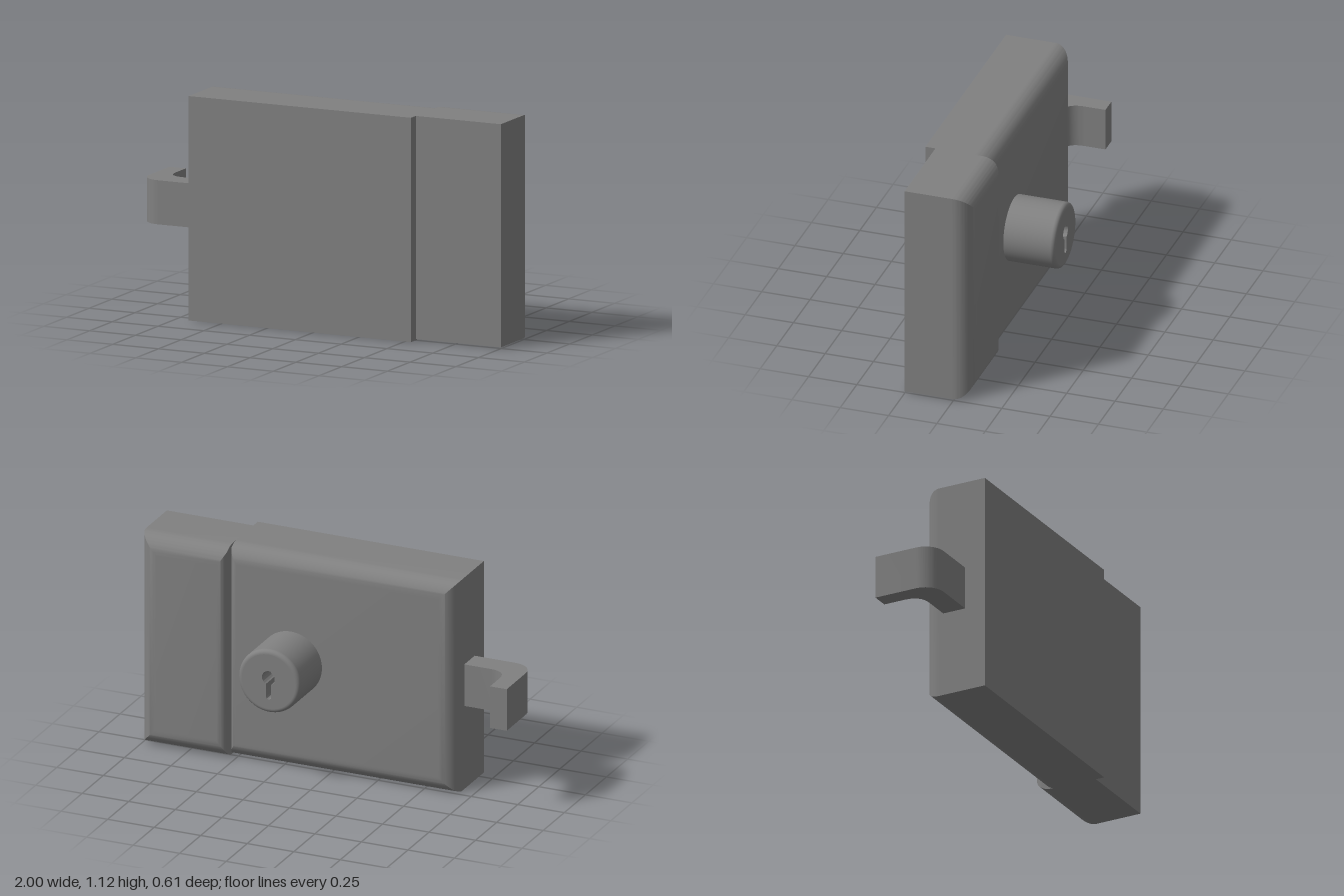
import * as THREE from 'three';
import { toCreasedNormals } from 'three/addons/utils/BufferGeometryUtils.js';

// Inset of a rounded edge of radius r, at distance d in from the back face
const inset = (r, d) => (d < r ? r - Math.sqrt(r * r - (r - d) * (r - d)) : 0);

// Box whose back edges are rounded and mitred, lofted from rectangles along z
function roundedBackBox({ x0, x1, y0, y1, back, front, rLeft, rRight, rY }) {
  const R = Math.max(rLeft, rRight, rY), steps = 20;
  const depths = [];
  for (let i = 0; i <= steps; i++) depths.push(R * (1 - Math.cos((i / steps) * Math.PI / 2)));
  depths.push(front - back);

  const rings = depths.map((d) => {
    const a = x0 + inset(rLeft, d), b = x1 - inset(rRight, d);
    const c = y0 + inset(rY, d), e = y1 - inset(rY, d), z = back + d;
    return [[a, c, z], [b, c, z], [b, e, z], [a, e, z]];
  });

  const pos = [];
  const quad = (a, b, c, d) => pos.push(...a, ...b, ...c, ...a, ...c, ...d);
  for (let i = 0; i < rings.length - 1; i++) {
    for (let k = 0; k < 4; k++) {
      const n = (k + 1) % 4;
      quad(rings[i][k], rings[i][n], rings[i + 1][n], rings[i + 1][k]);
    }
  }
  quad(...[...rings[0]].reverse());
  quad(...rings[rings.length - 1]);

  const geo = new THREE.BufferGeometry();
  geo.setAttribute('position', new THREE.Float32BufferAttribute(pos, 3));
  return toCreasedNormals(geo, 0.5);
}

export function createModel() {
  const group = new THREE.Group();
  const metal = new THREE.MeshStandardMaterial({ color: 0x808080 });
  metal.name = 'grey metal';

  const add = (name, geo, parent = group) => {
    const mesh = new THREE.Mesh(geo, metal);
    mesh.name = name;
    parent.add(mesh);
    return mesh;
  };

  // Lock case and the keeper beside it
  add('lockCase', roundedBackBox({
    x0: -0.68, x1: 0.535, y0: 0, y1: 1.12, back: -0.04, front: 0.305,
    rLeft: 0.09, rRight: 0.04, rY: 0.09,
  }));
  add('keeper', roundedBackBox({
    x0: 0.535, x1: 1, y0: 0.006, y1: 1.12, back: -0.087, front: 0.253,
    rLeft: 0.045, rRight: 0.095, rY: 0.095,
  }));

  // Bent handle: an L profile extruded upward
  const bend = new THREE.Shape();
  bend.moveTo(-0.66, 0.195);
  bend.lineTo(-0.9, 0.195);
  bend.absarc(-0.9, 0.095, 0.1, Math.PI / 2, Math.PI, false);
  bend.lineTo(-1, -0.13);
  bend.lineTo(-0.91, -0.13);
  bend.lineTo(-0.91, -0.02);
  bend.quadraticCurveTo(-0.91, 0.073, -0.82, 0.073);
  bend.lineTo(-0.66, 0.073);
  const handle = new THREE.ExtrudeGeometry(bend, { depth: 0.22, bevelEnabled: false, curveSegments: 14 });
  handle.rotateX(Math.PI / 2);
  add('handle', toCreasedNormals(handle, 0.5)).position.y = 0.66;

  // Key cylinder on the back
  const cylinder = new THREE.Group();
  cylinder.name = 'keyCylinder';
  cylinder.position.set(0.2, 0.56, -0.305);
  group.add(cylinder);

  // Barrel side with a rounded rim
  const radius = 0.166, rim = 0.022, inner = radius - rim;
  const profile = [new THREE.Vector2(radius, -0.28)];
  for (let i = 0; i <= 8; i++) {
    const t = (i / 8) * Math.PI / 2;
    profile.push(new THREE.Vector2(inner + rim * Math.cos(t), -rim + rim * Math.sin(t)));
  }
  const barrel = new THREE.LatheGeometry(profile, 64);
  barrel.rotateX(-Math.PI / 2);
  add('barrel', barrel, cylinder);

  // End face with the keyhole cut through it
  const face = new THREE.Shape();
  face.absarc(0, 0, inner, 0, Math.PI * 2, false);
  const hole = new THREE.Path();
  const holeR = 0.036, half = 0.014, holeY = 0.02;
  const a = Math.asin(half / holeR);
  hole.absarc(0, holeY, holeR, -Math.PI / 2 + a, Math.PI * 1.5 - a, false);
  hole.lineTo(-half, -0.08);
  hole.absarc(0, -0.08, half, Math.PI, Math.PI * 2, false);
  hole.closePath();
  face.holes.push(hole);
  const faceGeo = new THREE.ExtrudeGeometry(face, { depth: 0.1, bevelEnabled: false, curveSegments: 32 });
  add('keyholeFace', toCreasedNormals(faceGeo, 0.5), cylinder);

  // Floor of the keyhole
  const floor = new THREE.CircleGeometry(inner, 32);
  floor.rotateY(Math.PI);
  add('keyholeFloor', floor, cylinder).position.z = 0.1;

  return group;
}
